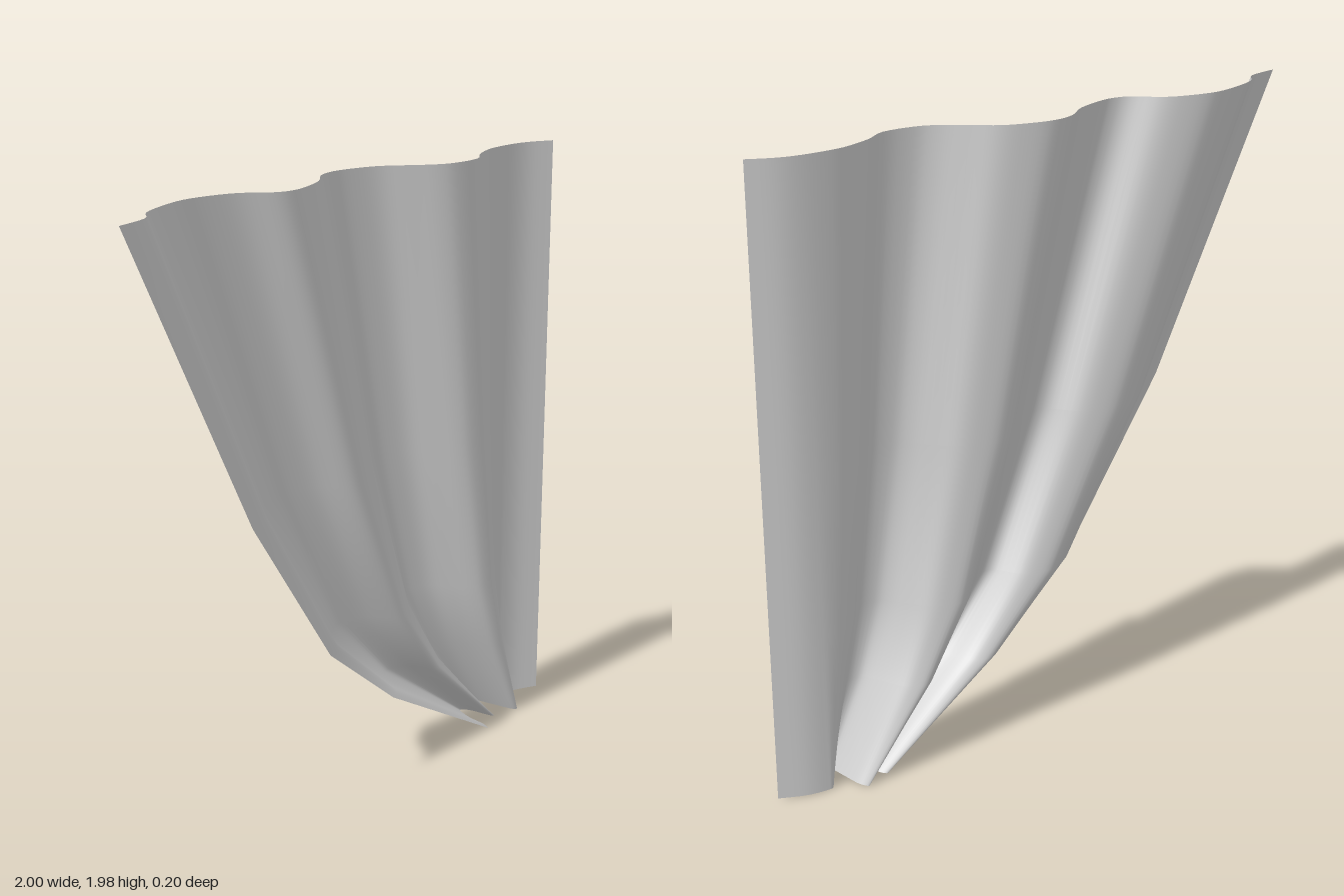
import * as THREE from 'three';

// Pleat profile of the cloth along its top hem: [x, z]
const PLEATS = [
  [-1, 0.096], [-0.88, 0.064], [-0.82, 0.002], [-0.72, -0.043], [-0.615, -0.07],
  [-0.51, -0.06], [-0.43, -0.032], [-0.36, 0.03], [-0.305, 0.047], [-0.24, 0.037],
  [-0.13, -0.01], [-0.05, -0.075], [0.03, -0.1], [0.12, -0.09], [0.2, -0.064],
  [0.27, -0.01], [0.34, 0.043], [0.41, 0.068], [0.52, 0.064], [0.6, 0.01],
  [0.69, -0.03], [0.75, -0.043], [0.845, -0.047], [0.92, -0.035], [1, 0],
];

// Height and how far the pleats stay spread at that height
const LEVELS = [[0, 0.133], [0.28, 0.404], [0.52, 0.566], [1.02, 0.745], [1.975, 1]];

// Pleats gather towards this x; the cloth beyond it hangs straight
const GATHER_X = 0.845;

function createCurtainGeometry() {
  const curve = new THREE.SplineCurve(PLEATS.map(([x, z]) => new THREE.Vector2(x, z)));
  const profile = curve.getPoints((PLEATS.length - 1) * 4);
  const positions = [], index = [], n = profile.length;

  // One gathered copy of the profile per level
  for (const [y, spread] of LEVELS) {
    for (const p of profile) {
      const x = p.x < GATHER_X ? GATHER_X + (p.x - GATHER_X) * spread : p.x;
      positions.push(x, y, p.y);
    }
  }
  for (let r = 0; r < LEVELS.length - 1; r++) {
    for (let i = 0; i < n - 1; i++) {
      const a = r * n + i, b = a + 1, c = a + n, d = c + 1;
      index.push(a, b, d, a, d, c);
    }
  }
  const geometry = new THREE.BufferGeometry();
  geometry.setAttribute('position', new THREE.Float32BufferAttribute(positions, 3));
  geometry.setIndex(index);
  geometry.computeVertexNormals();
  return geometry;
}

export function createModel() {
  const group = new THREE.Group();
  group.name = 'drapedCurtain';
  const cloth = new THREE.MeshStandardMaterial({ color: 0xcccccc, side: THREE.DoubleSide });
  const curtain = new THREE.Mesh(createCurtainGeometry(), cloth);
  curtain.name = 'curtainCloth';
  group.add(curtain);
  return group;
}
